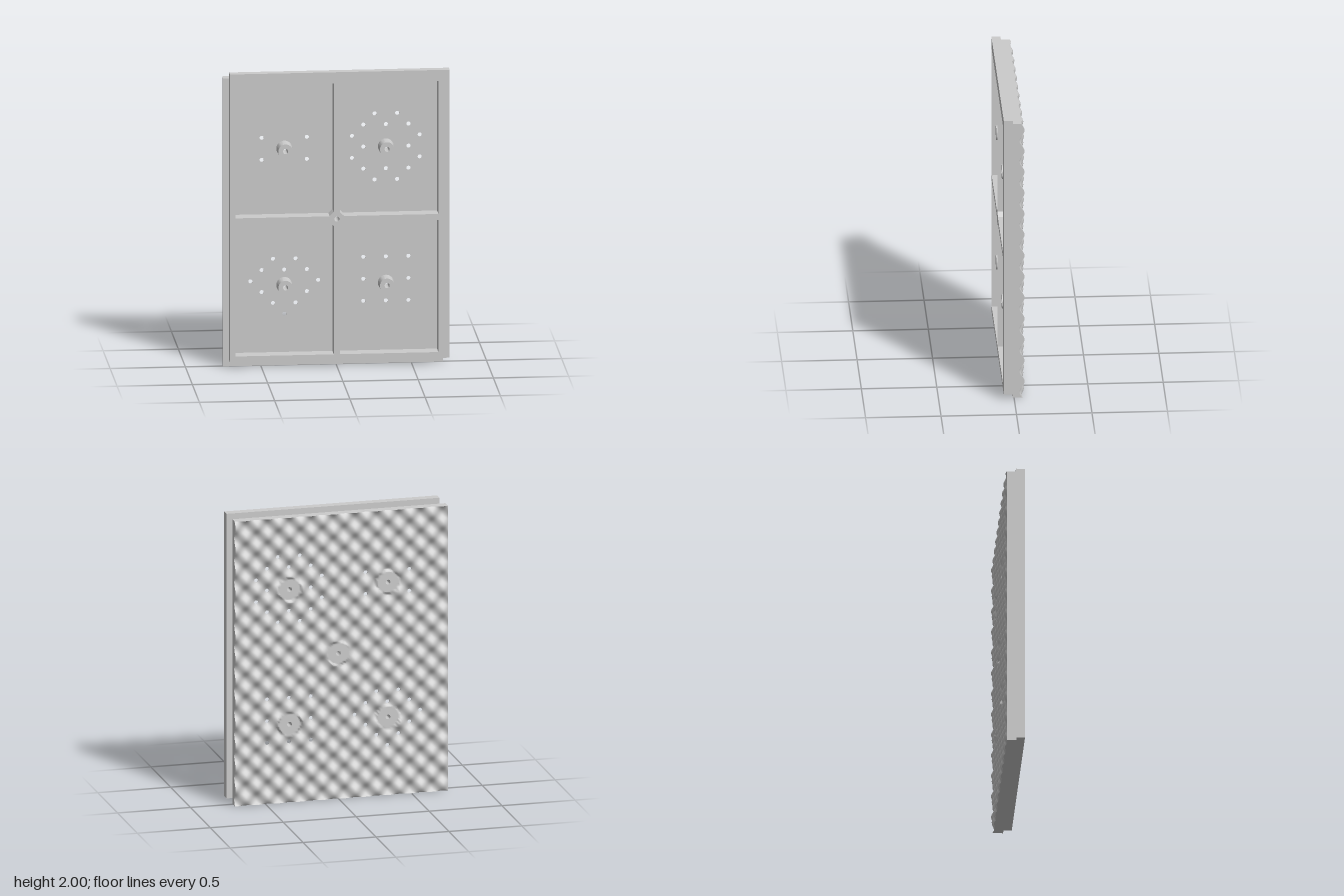
import * as THREE from 'three';
import { toCreasedNormals } from 'three/addons/utils/BufferGeometryUtils.js';

const FLOOR = -0.03, SEAM = 0.01, FRONT = 0.07;   // z levels
const MID = -0.053, AMP = 0.017;                  // relief level and height
const PITCH = 0.075, STEP = PITCH / 8;            // half wavelength, grid cell
const OX = 0.56, OY = 1.54;                       // a trough of the relief
const HOLE = 0.014, BORE = 0.017, PAD = 0.075;
const PANEL = { x0: -0.75, x1: 0.71, y0: 0, y1: 1.96 };
const FRAME = { x0: -0.71, x1: 0.75, y0: 0.04, y1: 2 };

const BOSSES = [[-0.34, 1.465], [0.335, 1.465], [-0.34, 0.537], [0.335, 0.537]];
const CENTRE = [0, 1];

// Drain holes of each tray, in half wavelengths around a trough row
const PATTERNS = [
  [-0.34, 1.465, [[-2, 1], [2, 1], [-2, -1], [2, -1]]],
  [0.335, 1.465, [[-1, 3], [1, 3], [-2, 2], [0, 2], [2, 2], [-3, 1], [3, 1], [-2, 0], [2, 0],
    [-3, -1], [3, -1], [-2, -2], [0, -2], [2, -2], [-1, -3], [1, -3]]],
  [-0.34, 0.565, [[-1, 2], [1, 2], [-2, 1], [0, 1], [2, 1], [-3, 0], [3, 0],
    [-2, -1], [2, -1], [-1, -2], [1, -2], [0, -3]]],
  [0.335, 0.565, [[-2, 2], [0, 2], [2, 2], [-2, 0], [2, 0], [-2, -2], [0, -2], [2, -2]]],
];
const DRAINS = PATTERNS.flatMap(([x, y, list]) => list.map(([i, j]) => [x + i * PITCH, y + j * PITCH]));

const rect = ({ x0, x1, y0, y1 }) => new THREE.Shape([
  new THREE.Vector2(x0, y0), new THREE.Vector2(x1, y0), new THREE.Vector2(x1, y1), new THREE.Vector2(x0, y1)]);

const circle = ([x, y], r) => new THREE.Path().absarc(x, y, r, 0, Math.PI * 2, true);

// Tray opening with its inner corner cut for the central hub
function trayOpening(sx, sy) {
  const h = sy > 0 ? 0.925 : 0.92;
  const pts = [[0.048, 0.02], [0.675, 0.02], [0.675, h], [0.02, h], [0.02, 0.048]];
  return new THREE.Path(pts.map(([x, y]) => new THREE.Vector2(sx * x, 1 + sy * y)));
}

// Layer of outer rim and cross ribs between two z levels
function rimLayer(bounds, z0, z1) {
  const shape = rect(bounds);
  for (const sx of [-1, 1]) for (const sy of [-1, 1]) shape.holes.push(trayOpening(sx, sy));
  shape.holes.push(circle(CENTRE, BORE));
  const geo = new THREE.ExtrudeGeometry(shape, { depth: z1 - z0, bevelEnabled: false, curveSegments: 16 });
  return geo.translate(0, 0, z0);
}

// Tray floor pierced by all holes
function floorGeometry() {
  const shape = rect(PANEL);
  DRAINS.forEach((c) => shape.holes.push(circle(c, HOLE)));
  [...BOSSES, CENTRE].forEach((c) => shape.holes.push(circle(c, BORE)));
  return new THREE.ShapeGeometry(shape, 8).translate(0, 0, FLOOR);
}

// Egg-crate relief on the back, with flat pads and holes, plus its edge skirt
function reliefGeometries() {
  const i0 = -140, i1 = 16, j0 = -165, j1 = 45, w = i1 - i0 + 1;
  const clamp = THREE.MathUtils.clamp;
  const key = (i, j) => (j - j0) * w + (i - i0);
  const pos = [], index = [], skirt = [];
  for (let j = j0; j <= j1; j++) for (let i = i0; i <= i1; i++) {
    let x = clamp(OX + i * STEP, PANEL.x0, PANEL.x1);
    let y = clamp(OY + j * STEP, PANEL.y0, PANEL.y1);
    let z = MID + AMP * Math.cos(i * Math.PI / 8) * Math.cos(j * Math.PI / 8);
    for (const [cx, cy] of [...BOSSES, CENTRE]) {
      const d = Math.hypot(x - cx, y - cy);
      if (d > PAD + STEP / 2) continue;
      z = MID;
      if (d > PAD - STEP / 2) { // pull the pad edge onto a true circle
        x = cx + (x - cx) * PAD / d;
        y = cy + (y - cy) * PAD / d;
      }
    }
    pos.push(x, y, z);
  }
  // Open each hole: drop its four cells and round the ring about them
  const open = new Set();
  const cut = ([cx, cy], r) => {
    const ci = Math.round((cx - OX) / STEP), cj = Math.round((cy - OY) / STEP);
    for (let b = -1; b <= 1; b++) for (let a = -1; a <= 1; a++) {
      if (a < 1 && b < 1) open.add(key(ci + a, cj + b));
      const d = Math.hypot(a, b), k = key(ci + a, cj + b) * 3;
      if (!d) continue;
      pos[k] = cx + a / d * r;
      pos[k + 1] = cy + b / d * r;
    }
  };
  DRAINS.forEach((c) => cut(c, HOLE));
  [...BOSSES, CENTRE].forEach((c) => cut(c, BORE));

  for (let j = j0; j < j1; j++) for (let i = i0; i < i1; i++) {
    if (open.has(key(i, j))) continue;
    const a = key(i, j), b = key(i + 1, j), c = key(i + 1, j + 1), d = key(i, j + 1);
    index.push(a, c, b, a, d, c);
  }
  const relief = new THREE.BufferGeometry();
  relief.setAttribute('position', new THREE.Float32BufferAttribute(pos, 3));
  relief.setIndex(index);
  relief.computeVertexNormals();

  const wall = (k, l) => {
    const [ax, ay, az] = pos.slice(k * 3, k * 3 + 3), [bx, by, bz] = pos.slice(l * 3, l * 3 + 3);
    skirt.push(ax, ay, az, bx, by, bz, bx, by, FLOOR, ax, ay, az, bx, by, FLOOR, ax, ay, FLOOR);
  };
  for (let i = i0; i < i1; i++) { wall(key(i, j0), key(i + 1, j0)); wall(key(i + 1, j1), key(i, j1)); }
  for (let j = j0; j < j1; j++) { wall(key(i1, j), key(i1, j + 1)); wall(key(i0, j + 1), key(i0, j)); }
  const edge = new THREE.BufferGeometry();
  edge.setAttribute('position', new THREE.Float32BufferAttribute(skirt, 3));
  edge.computeVertexNormals();
  return { relief, edge };
}

export function createModel() {
  const group = new THREE.Group();
  const solid = new THREE.MeshStandardMaterial({ color: 0xcccccc });
  const thin = new THREE.MeshStandardMaterial({ color: 0xcccccc, side: THREE.DoubleSide });
  const add = (name, geo, mat = solid) => {
    const mesh = new THREE.Mesh(geo, mat);
    mesh.name = name;
    group.add(mesh);
    return mesh;
  };

  // Two offset layers form the overlapping edges
  add('frontFrame', rimLayer(FRAME, SEAM, FRONT));
  add('panelRim', rimLayer(PANEL, FLOOR, SEAM));
  add('trayFloor', floorGeometry());

  const { relief, edge } = reliefGeometries();
  add('backRelief', relief);
  add('reliefEdge', edge, thin);

  // Hollow mounting bosses
  const profile = [[0.053, FLOOR], [0.048, 0.06], [BORE, 0.06], [BORE, MID]];
  const bossGeo = toCreasedNormals(
    new THREE.LatheGeometry(profile.map(([r, z]) => new THREE.Vector2(r, z)), 32).rotateX(Math.PI / 2), 0.6);
  BOSSES.forEach(([x, y]) => add('mountingBoss', bossGeo, thin).position.set(x, y, 0));

  // Hole linings
  const lining = (name, [x, y], r, back) => {
    const geo = new THREE.CylinderGeometry(r, r, FLOOR - back, 16, 1, true).rotateX(Math.PI / 2);
    add(name, geo, thin).position.set(x, y, (FLOOR + back) / 2);
  };
  DRAINS.forEach((c) => lining('drainHole', c, HOLE, MID + AMP));
  lining('centreHole', CENTRE, BORE, MID);
  return group;
}
